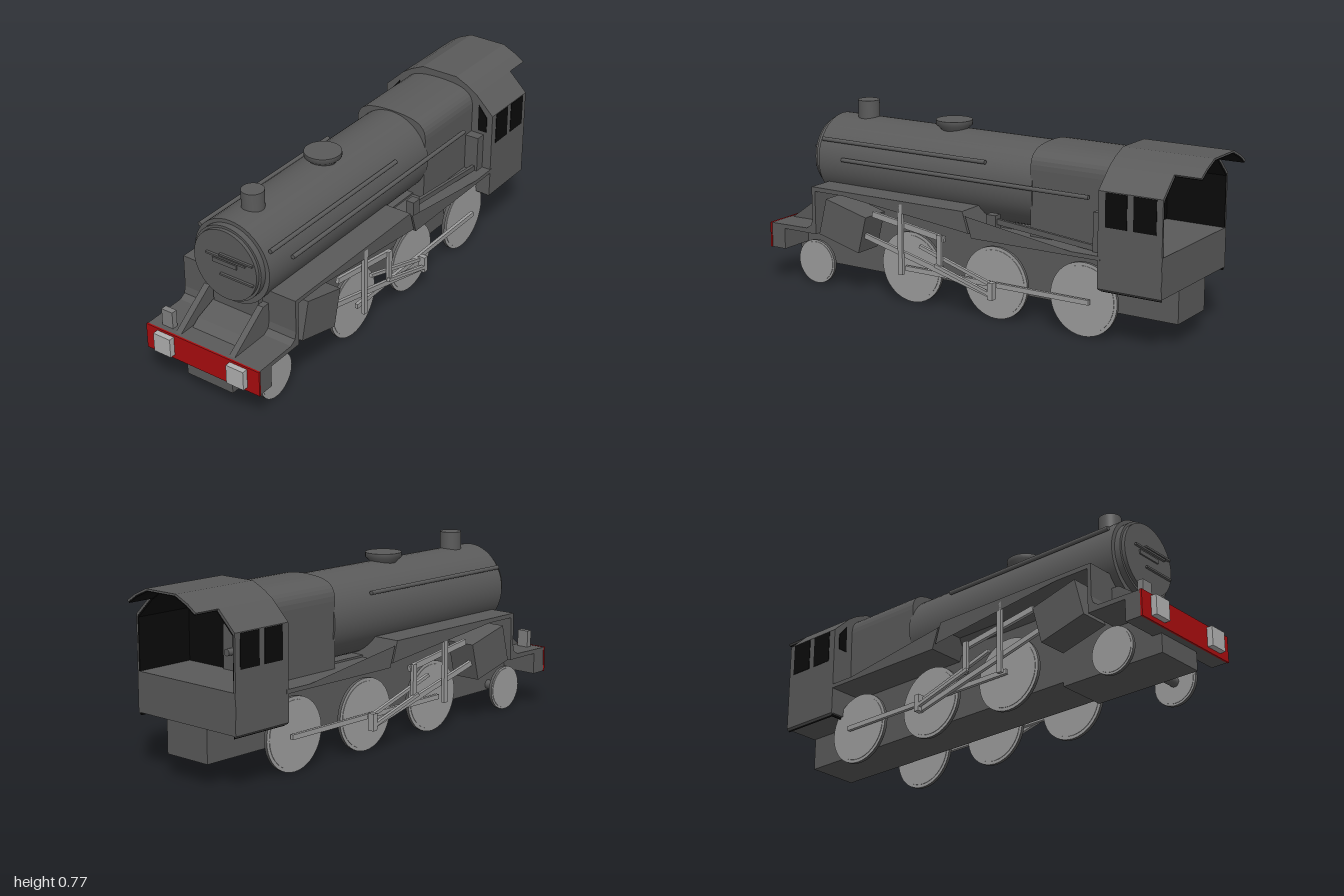
import * as THREE from 'three';

const material = (name, color, side = THREE.FrontSide) => {
  const m = new THREE.MeshStandardMaterial({ color, side });
  m.name = name;
  return m;
};

export function createModel() {
  const model = new THREE.Group();
  model.name = 'steamLocomotive';
  const body = material('darkGrey', 0x5a5a5a);
  const steel = material('steel', 0x9c9c9c);
  const silver = material('silver', 0xb0b0b0);
  const lampGrey = material('lampGrey', 0x808080);
  const red = material('red', 0xa80c0e);
  const black = material('black', 0x0a0a0a);

  // everything symmetric sits around the engine's own centre line
  const engine = new THREE.Group();
  engine.name = 'engine';
  engine.position.x = -0.006;
  model.add(engine);

  const add = (name, geo, mat) => {
    const mesh = new THREE.Mesh(geo, mat);
    mesh.name = name;
    engine.add(mesh);
    return mesh;
  };
  const box = (name, mat, x0, x1, y0, y1, z0, z1) => {
    const m = add(name, new THREE.BoxGeometry(Math.abs(x1 - x0), y1 - y0, z1 - z0), mat);
    m.position.set((x0 + x1) / 2, (y0 + y1) / 2, (z0 + z1) / 2);
    return m;
  };
  // cylinder lying along z
  const drum = (name, mat, r, x, y, z0, z1, sides = 48) => {
    const m = add(name, new THREE.CylinderGeometry(r, r, z1 - z0, sides).rotateX(Math.PI / 2), mat);
    m.position.set(x, y, (z0 + z1) / 2);
    return m;
  };
  // flat bar in the side plane between two [z, y] points
  const rod = (name, x, a, b, h = 0.02, w = 0.014, mat = steel) => {
    const dz = b[0] - a[0], dy = b[1] - a[1];
    const m = add(name, new THREE.BoxGeometry(w, h, Math.hypot(dz, dy)), mat);
    m.position.set(x, (a[1] + b[1]) / 2, (a[0] + b[0]) / 2);
    m.rotation.x = -Math.atan2(dy, dz);
    return m;
  };
  const shapeOf = (pts) => new THREE.Shape(pts.map((p) => new THREE.Vector2(...p)));
  // [z, y] outline extruded across x
  const sideExtrude = (name, mat, pts, width, x = 0) => {
    const g = new THREE.ExtrudeGeometry(shapeOf(pts), { depth: width, bevelEnabled: false });
    const m = add(name, g.translate(0, 0, -width / 2).rotateY(-Math.PI / 2), mat);
    m.position.x = x;
    return m;
  };
  // [x, y] outline extruded along z
  const frontExtrude = (name, mat, shape, z0, z1) =>
    add(name, new THREE.ExtrudeGeometry(shape, { depth: z1 - z0, bevelEnabled: false, curveSegments: 10 })
      .translate(0, 0, z0), mat);

  // boiler and smokebox
  drum('boiler', body, 0.176, 0, 0.529, -0.27, 0.78);
  drum('smokeboxRing', body, 0.157, 0, 0.533, 0.78, 0.805);
  drum('smokeboxDoor', body, 0.147, 0, 0.533, 0.805, 0.82);
  for (const [y, x0, x1] of [[0.578, -0.02, 0.133], [0.566, -0.084, 0.1], [0.493, -0.02, 0.133]])
    box('doorStrap', body, x0, x1, y - 0.004, y + 0.004, 0.82, 0.83);
  box('doorPlate', body, -0.056, 0.057, 0.535, 0.553, 0.82, 0.826);

  // chimney and dome
  const chimney = add('chimney', new THREE.CylinderGeometry(0.045, 0.045, 0.1, 32), body);
  chimney.position.set(0, 0.725, 0.645);
  const dome = add('dome', new THREE.LatheGeometry(
    [[0.05, 0.68], [0.055, 0.7], [0.075, 0.718], [0.075, 0.738], [0.075, 0.738], [0, 0.739]]
      .map((p) => new THREE.Vector2(...p)), 32), body);
  dome.position.z = 0.21;

  // square-shouldered firebox
  const firebox = new THREE.Shape();
  firebox.moveTo(-0.164, 0.34);
  firebox.lineTo(0.164, 0.34);
  firebox.lineTo(0.167, 0.62);
  firebox.bezierCurveTo(0.167, 0.69, 0.12, 0.708, 0, 0.71);
  firebox.bezierCurveTo(-0.12, 0.708, -0.167, 0.69, -0.167, 0.62);
  frontExtrude('firebox', body, firebox, -0.625, -0.26);

  // frames
  box('mainFrame', body, -0.106, 0.112, 0.088, 0.36, -0.885, 0.5);
  box('frontFrame', body, -0.106, 0.112, 0.07, 0.25, 0.48, 0.94);
  box('smokeboxSaddle', body, -0.106, 0.112, 0.24, 0.43, 0.0, 0.77);
  sideExtrude('saddleRamp', body, [[0.74, 0.25], [0.9, 0.25], [0.86, 0.28], [0.77, 0.312], [0.74, 0.312]], 0.22);

  // stepped running plate, bent from one strip
  sideExtrude('runningPlate', body, [
    [0.96, 0.236], [0.96, 0.253], [0.78, 0.256], [0.755, 0.272], [0.748, 0.3], [0.748, 0.438],
    [-0.008, 0.438], [-0.035, 0.352], [-0.63, 0.352], [-0.63, 0.335],
    [-0.05, 0.335], [-0.022, 0.42], [0.731, 0.42], [0.731, 0.236],
  ], 0.534);

  // buffer beam
  box('bufferBeam', body, -0.267, 0.267, 0.147, 0.253, 0.9, 0.968);
  box('bufferBeamFace', red, -0.269, 0.27, 0.147, 0.254, 0.968, 0.976);
  box('lamp', lampGrey, -0.215, -0.163, 0.253, 0.325, 0.92, 0.945);

  // cab: arched shell with black lining and an open back
  const half = [[0.266, 0.605], [0.185, 0.683], [0.144, 0.71], [0.083, 0.738]];
  const arch = (pts, inset) => pts.map(([x, y]) => [x - inset, y - inset]);
  const mirrored = (pts) => [...pts, ...pts.map(([x, y]) => [-x, y]).reverse()];
  const shell = (pts, a, b) => shapeOf([...mirrored(arch(pts, a)), ...mirrored(arch(pts, b)).reverse()]);
  const wall = [[0.266, 0.225], ...half];
  const roof = half.slice(1);
  frontExtrude('cabShell', body, shell(wall, 0, 0.007), -0.89, -0.62);
  frontExtrude('cabLining', black, shell(wall, 0.007, 0.012), -0.889, -0.63);
  frontExtrude('roofOverhang', body, shell(roof, 0, 0.006), -1, -0.89);
  frontExtrude('overhangLining', black, shell(roof, 0.006, 0.01), -0.999, -0.889);
  frontExtrude('cabFront', body, shapeOf(mirrored(wall)), -0.63, -0.619);
  frontExtrude('cabFrontLining', black, shapeOf(mirrored(arch(wall, 0.008))), -0.636, -0.63);
  box('cabFloor', body, -0.265, 0.265, 0.224, 0.385, -0.891, -0.636);
  box('firedoorPlate', body, -0.05, 0.05, 0.385, 0.56, -0.65, -0.636);
  drum('firedoorHandle', body, 0.014, 0, 0.46, -0.68, -0.65, 16);

  // parts repeated on both sides
  for (const s of [-1, 1]) {
    // buffers and front stays
    box('buffer', silver, s * 0.134, s * 0.214, 0.165, 0.245, 0.97, 1);
    sideExtrude('frontStay', body, [[0.96, 0.25], [0.78, 0.38], [0.74, 0.38], [0.74, 0.25]], 0.026, s * 0.128);

    // cab windows
    for (const [z0, z1] of [[-0.742, -0.65], [-0.865, -0.769]])
      box('cabSideWindow', black, s * 0.263, s * 0.268, 0.468, 0.602, z0, z1);
    const pane = [[0.24, 0.523], [0.24, 0.59], [0.199, 0.64], [0.199, 0.523]];
    frontExtrude('cabFrontWindow', black, shapeOf(pane.map(([x, y]) => [s * x, y])), -0.622, -0.616);

    // wheels: dark tyre with a steel face on each side
    for (const [z, r] of [[0.785, 0.094], [0.287, 0.148], [-0.12, 0.148], [-0.522, 0.148]]) {
      for (const [name, radius, w, mats] of [
        ['wheelTyre', r, 0.014, [body, steel, steel]], ['wheelDisc', r * 0.91, 0.018, steel]]) {
        const wheel = add(name, new THREE.CylinderGeometry(radius, radius, w, 40).rotateZ(Math.PI / 2), mats);
        wheel.position.set(s * 0.192, r, z);
      }
    }
    const axles = [[0.785, 0.094], [0.287, 0.148], [-0.12, 0.148], [-0.522, 0.148]];
    for (const [z, y] of axles) {
      const axle = add('axle', new THREE.CylinderGeometry(0.02, 0.02, 0.1, 16).rotateZ(Math.PI / 2), body);
      axle.position.set(s * 0.14, y, z);
    }

    // sloping cylinder block
    const block = add('cylinderBlock', new THREE.BoxGeometry(0.13, 0.16, 0.21), body);
    block.position.set(s * 0.203, 0.292, 0.59);
    block.rotation.x = -0.25;

    // motion
    rod('couplingRod', s * 0.222, [0.3, 0.148], [-0.56, 0.148]);
    rod('connectingRod', s * 0.24, [0.49, 0.26], [-0.14, 0.105], 0.022);
    rod('valveRod', s * 0.24, [0.45, 0.357], [0.095, 0.303], 0.024);
    rod('combinationLever', s * 0.26, [0.297, 0.13], [0.297, 0.425], 0.022);
    rod('expansionLink', s * 0.25, [0.113, 0.185], [0.113, 0.32], 0.022);
    rod('eccentricRod', s * 0.258, [0.13, 0.195], [-0.14, 0.115], 0.014);
    rod('radiusRod', s * 0.235, [0.22, 0.255], [-0.14, 0.145], 0.014);
    rod('returnCrank', s * 0.25, [-0.135, 0.095], [-0.135, 0.165], 0.022, 0.03);

    // upper handrail
    drum('upperHandrail', body, 0.009, s * 0.166, 0.622, -0.05, 0.76, 10);
  }

  // fittings on the left side only: lower rail, reversing gear
  drum('lowerHandrail', body, 0.009, 0.184, 0.548, -0.53, 0.65, 10);
  box('reverserBox', body, 0.165, 0.226, 0.35, 0.508, -0.62, -0.575);
  box('reverserBracket', body, 0.19, 0.226, 0.35, 0.43, -0.137, -0.093);
  rod('reachRod', 0.208, [-0.12, 0.405], [-0.61, 0.36], 0.022, 0.014, body);

  return model;
}
